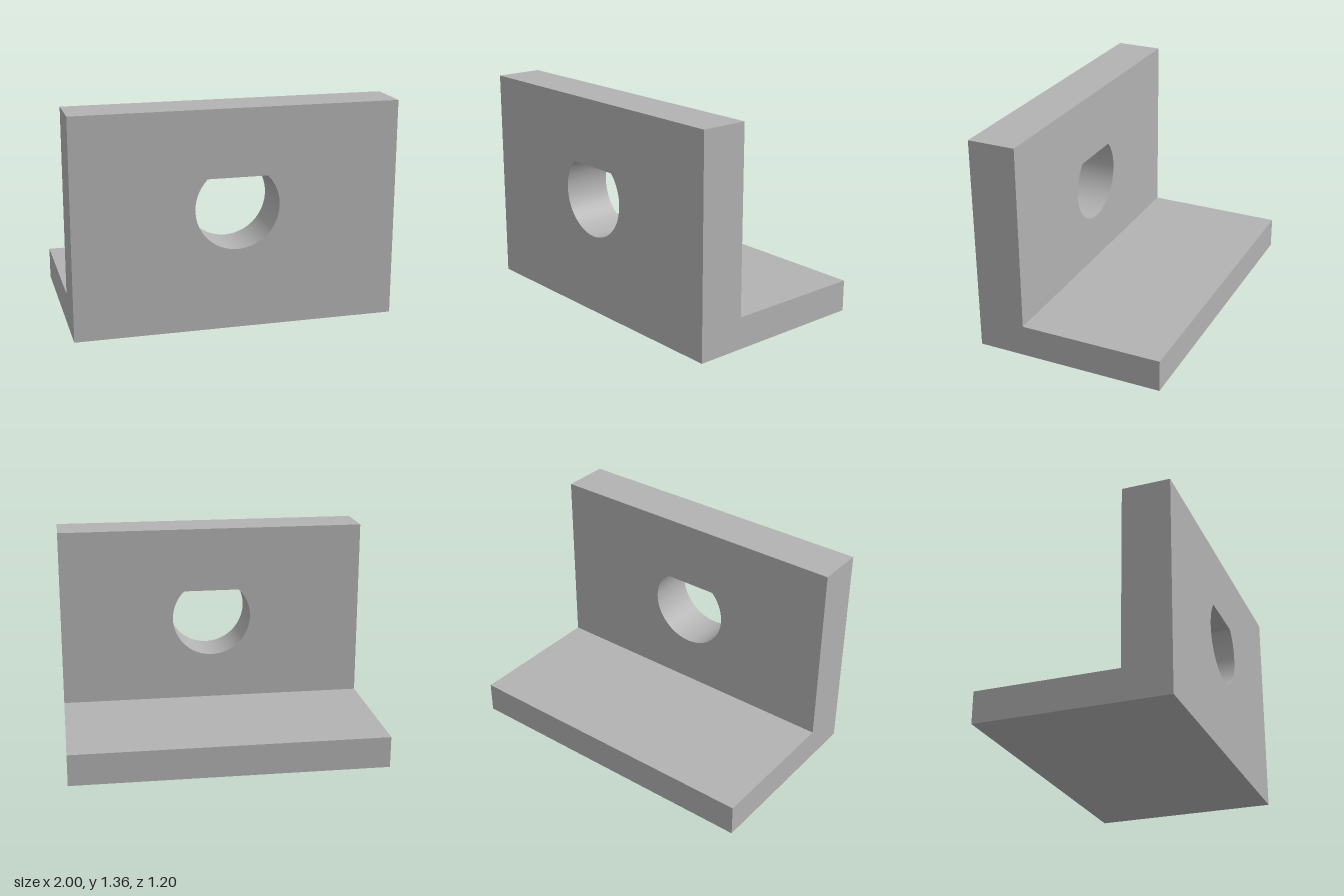
import * as THREE from 'three';
import { toCreasedNormals } from 'three/addons/utils/BufferGeometryUtils.js';

export function createModel() {
  const group = new THREE.Group();
  group.name = 'angleBracket';

  const grey = new THREE.MeshStandardMaterial({ color: 0xb2b2b2 });
  grey.name = 'plain grey';

  const width = 2, height = 1.36, wallDepth = 0.3;
  const baseHeight = 0.2, baseDepth = 0.9;
  const holeY = 0.76, holeRadius = 0.26;

  // Upright wall outline
  const outline = new THREE.Shape();
  outline.moveTo(-width / 2, 0);
  outline.lineTo(width / 2, 0);
  outline.lineTo(width / 2, height);
  outline.lineTo(-width / 2, height);
  outline.closePath();

  // Teardrop hole: a round bottom with 45 degree tangents meeting at the tip
  const hole = new THREE.Path();
  hole.moveTo(0, holeY + holeRadius * Math.SQRT2);
  hole.absarc(0, holeY, holeRadius, Math.PI * 0.75, Math.PI * 2.25, false);
  hole.closePath();
  outline.holes.push(hole);

  const wallGeometry = new THREE.ExtrudeGeometry(outline, {
    depth: wallDepth, bevelEnabled: false, curveSegments: 64,
  });
  const wall = new THREE.Mesh(toCreasedNormals(wallGeometry, Math.PI / 6), grey);
  wall.name = 'uprightWall';
  wall.position.z = 0.3;
  group.add(wall);

  // Flat foot behind the wall
  const base = new THREE.Mesh(new THREE.BoxGeometry(width, baseHeight, baseDepth), grey);
  base.name = 'basePlate';
  base.position.set(0, baseHeight / 2, 0.3 - baseDepth / 2);
  group.add(base);

  return group;
}
